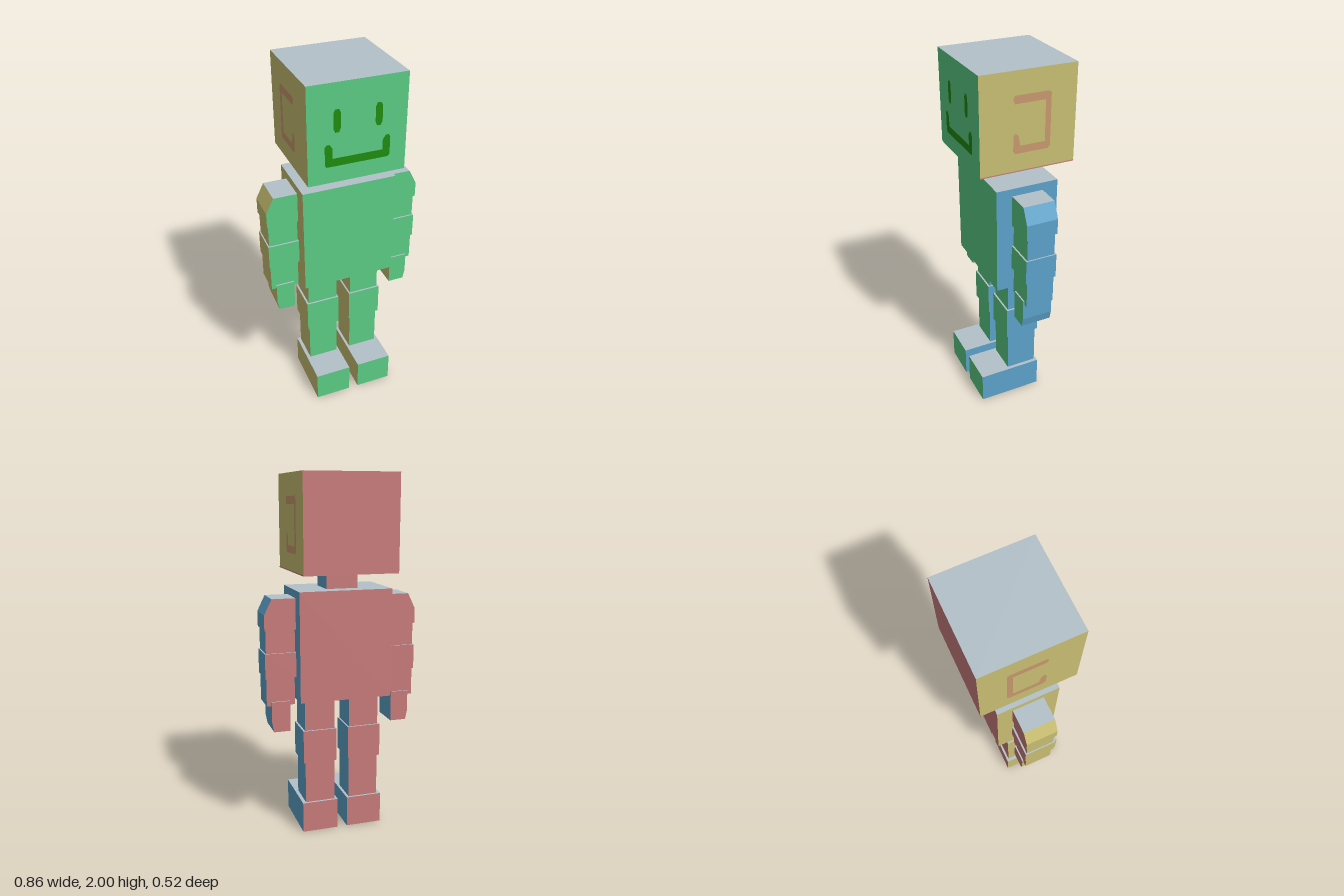
import * as THREE from 'three';

const material = (name, color) => {
  const m = new THREE.MeshStandardMaterial({ color });
  m.name = name;
  return m;
};

const blue = material('blue', 0x5ca2ca);
const yellow = material('yellow', 0xc8be72);
const grey = material('grey', 0xb3c1c9);
const dark = material('dark slate', 0x455560);
const green = material('green', 0x5bcb84);
const red = material('red', 0xc97b7b);
const deepGreen = material('deep green', 0x1f8c0f);
const tan = material('tan', 0xc8986f);

// Order: +x, -x, +y, -y, +z, -z
const bodyPaint = [blue, yellow, grey, dark, green, red];
const headPaint = [yellow, yellow, grey, dark, green, red];

const shapeOf = (points) => new THREE.Shape(points.map(([x, y]) => new THREE.Vector2(x, y)));
const flip = (points) => points.map(([x, y]) => [-x, y]);
const rect = (x0, x1, y0, y1) => [[x0, y0], [x1, y0], [x1, y1], [x0, y1]];

// Prism with a front outline, coloured by the direction each face points
function block(name, outline, z0, z1, paint = bodyPaint) {
  const extruded = new THREE.ExtrudeGeometry(shapeOf(outline), { depth: z1 - z0, bevelEnabled: false });
  const geo = extruded.index ? extruded.toNonIndexed() : extruded;
  geo.translate(0, 0, z0);
  geo.computeVertexNormals();
  geo.clearGroups();
  const n = geo.attributes.normal;
  for (let i = 0; i < n.count; i += 3) {
    const v = [n.getX(i), n.getY(i), n.getZ(i)];
    const size = v.map(Math.abs);
    const axis = size.indexOf(Math.max(...size));
    geo.addGroup(i, 3, axis * 2 + (v[axis] < 0 ? 1 : 0));
  }
  const mesh = new THREE.Mesh(geo, paint);
  mesh.name = name;
  return mesh;
}

// Flat painted detail
function decal(name, outline, mat) {
  const mesh = new THREE.Mesh(new THREE.ShapeGeometry(shapeOf(outline)), mat);
  mesh.name = name;
  return mesh;
}

function makeHead() {
  const head = new THREE.Group();
  head.name = 'head';
  const r = 0.26;
  head.add(block('skull', rect(-r, r, 1.483, 2), -r, r, headPaint));

  // Eyes and smile
  const eye = [[0.098, 1.75], [0.118, 1.75], [0.127, 1.77], [0.127, 1.85],
    [0.118, 1.868], [0.098, 1.868], [0.09, 1.85], [0.09, 1.77]];
  const halfMouth = [[0.162, 1.572], [0.172, 1.585], [0.172, 1.68], [0.163, 1.692],
    [0.148, 1.692], [0.132, 1.67], [0.132, 1.615]];
  const mouth = [...halfMouth, ...flip(halfMouth).reverse()];
  const face = [decal('leftEye', eye, deepGreen), decal('rightEye', flip(eye), deepGreen),
    decal('mouth', mouth, deepGreen)];
  for (const part of face) {
    part.position.z = r + 0.002;
    head.add(part);
  }

  // Bracket mark on both sides, open towards the face
  const mark = [[-0.075, 1.88], [0.11, 1.88], [0.12, 1.868], [0.12, 1.595], [0.108, 1.582],
    [-0.07, 1.582], [-0.083, 1.597], [-0.083, 1.675], [-0.07, 1.69], [-0.055, 1.675],
    [-0.045, 1.622], [0.09, 1.622], [0.09, 1.838], [-0.075, 1.838], [-0.085, 1.86]];
  for (const s of [1, -1]) {
    const side = decal(s > 0 ? 'leftSideMark' : 'rightSideMark', s > 0 ? mark : flip(mark), tan);
    side.rotation.y = s * Math.PI / 2;
    side.position.x = s * (r + 0.002);
    head.add(side);
  }

  // Thin line along the lower left edge
  const line = decal('lowerEdgeLine', rect(-r, r, 1.483, 1.489), red);
  line.rotation.y = Math.PI / 2;
  line.position.x = r + 0.002;
  head.add(line);
  return head;
}

// Limb pieces for the left side: name, outline, back z, front z
const armParts = [
  ['shoulder', [[0.26, 1.18], [0.432, 1.18], [0.432, 1.265], [0.39, 1.35], [0.26, 1.35]], -0.087, 0.087],
  ['upperArm', rect(0.264, 0.425, 1.055, 1.18), -0.078, 0.078],
  ['elbow', rect(0.26, 0.432, 0.917, 1.055), -0.087, 0.087],
  ['forearm', rect(0.268, 0.426, 0.762, 0.917), -0.078, 0.078],
  ['hand', [[0.297, 0.613], [0.389, 0.613], [0.4, 0.665], [0.4, 0.785], [0.297, 0.785]], -0.086, 0.086],
];
const legParts = [
  ['thigh', rect(0.043, 0.215, 0.603, 0.79), -0.087, 0.087],
  ['knee', rect(0.034, 0.226, 0.415, 0.603), -0.097, 0.097],
  ['shin', rect(0.043, 0.214, 0.175, 0.415), -0.087, 0.087],
  ['foot', rect(0.028, 0.234, 0, 0.175), -0.1, 0.26],
];

function makeLimb(name, parts, side) {
  const limb = new THREE.Group();
  limb.name = name;
  for (const [part, outline, z0, z1] of parts) {
    limb.add(block(part, side > 0 ? outline : flip(outline), z0, z1));
  }
  return limb;
}

export function createModel() {
  const model = new THREE.Group();
  model.name = 'blockFigure';
  model.add(makeHead());
  model.add(block('neck', rect(-0.088, 0.088, 1.39, 1.483), -0.087, 0.087));
  model.add(block('torso', rect(-0.26, 0.26, 0.79, 1.392), -0.173, 0.173));
  for (const s of [1, -1]) {
    const side = s > 0 ? 'left' : 'right';
    model.add(makeLimb(side + 'Arm', armParts, s), makeLimb(side + 'Leg', legParts, s));
  }
  return model;
}
